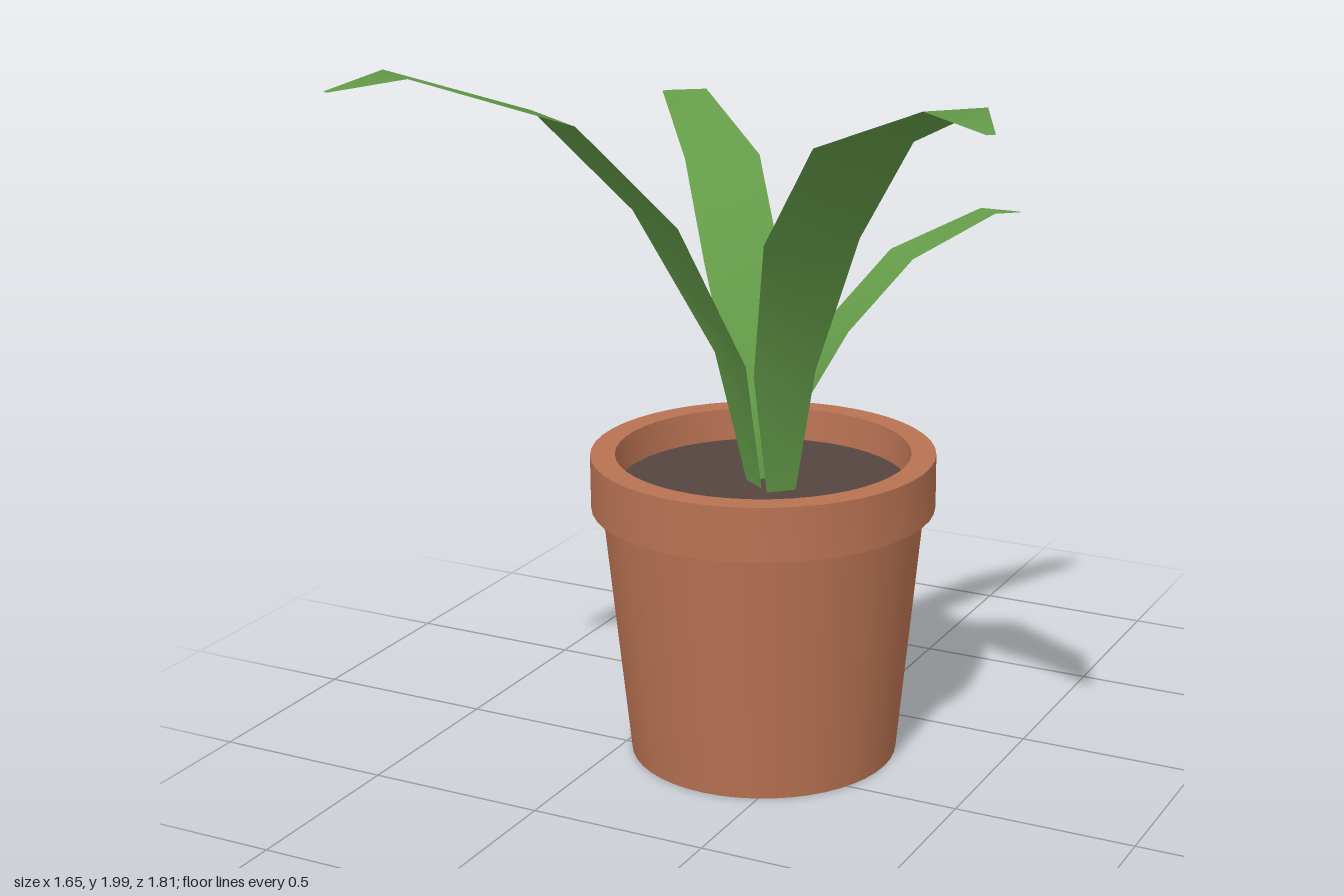
import * as THREE from 'three';
import { toCreasedNormals } from 'three/addons/utils/BufferGeometryUtils.js';

const terracotta = new THREE.MeshStandardMaterial({ color: 0xb87252 });
terracotta.name = 'terracotta';
const soilBrown = new THREE.MeshStandardMaterial({ color: 0x55453f });
soilBrown.name = 'soilBrown';
const leafGreen = new THREE.MeshStandardMaterial({ color: 0x649c49, side: THREE.DoubleSide });
leafGreen.name = 'leafGreen';

const POT_X = -0.15, POT_Z = -0.163;

// Half width of a blade at each station from root to tip, for a leaf of scale 1
const HALF_WIDTHS = [0.04, 0.086, 0.128, 0.128, 0.078, 0.011];

// Blade: a strip following [x, y, z] stations, spread along a level direction
function makeLeaf(name, scale, across, stations) {
  const [ax, az] = across;
  const positions = [], index = [];
  stations.forEach(([x, y, z], i) => {
    const w = HALF_WIDTHS[i] * (i === 0 ? 1 : scale);
    positions.push(x - ax * w, y, z - az * w, x + ax * w, y, z + az * w);
    if (i > 0) {
      const a = 2 * (i - 1);
      index.push(a, a + 2, a + 1, a + 1, a + 2, a + 3);
    }
  });
  const geometry = new THREE.BufferGeometry();
  geometry.setAttribute('position', new THREE.Float32BufferAttribute(positions, 3));
  geometry.setIndex(index);
  geometry.computeVertexNormals();
  const mesh = new THREE.Mesh(geometry, leafGreen);
  mesh.name = name;
  return mesh;
}

export function createModel() {
  const group = new THREE.Group();
  group.name = 'pottedPlant';

  // Pot: tapered wall, thick rim and the inside down to the soil
  const profile = [
    [0.001, 0], [0.37, 0], [0.44, 0.71], [0.47, 0.71],
    [0.47, 0.86], [0.403, 0.86], [0.395, 0.75],
  ].map(([r, y]) => new THREE.Vector2(r, y));
  const pot = new THREE.Mesh(toCreasedNormals(new THREE.LatheGeometry(profile, 48), 0.6), terracotta);
  pot.name = 'pot';
  pot.position.set(POT_X, 0, POT_Z);
  group.add(pot);

  // Soil disc
  const soil = new THREE.Mesh(new THREE.CircleGeometry(0.397, 48), soilBrown);
  soil.name = 'soil';
  soil.rotation.x = -Math.PI / 2;
  soil.position.set(POT_X, 0.77, POT_Z);
  group.add(soil);

  // Four arching leaves; "across" is ordered so that the upper face is the front
  group.add(
    makeLeaf('frontRightLeaf', 1, [0.83, 0.56], [
      [-0.165, 0.76, -0.14], [-0.212, 1.13, -0.09], [-0.33, 1.54, 0.1],
      [-0.472, 1.835, 0.357], [-0.67, 1.99, 0.745], [-0.762, 1.965, 0.9],
    ]),
    makeLeaf('frontLeftLeaf', 1, [0.71, -0.7], [
      [-0.075, 0.76, -0.12], [-0.034, 1.12, -0.058], [0.118, 1.525, 0.096],
      [0.342, 1.825, 0.282], [0.684, 1.982, 0.545], [0.813, 1.955, 0.655],
    ]),
    makeLeaf('backRightLeaf', 0.84, [-0.77, 0.64], [
      [-0.165, 0.76, -0.19], [-0.183, 1.0, -0.205], [-0.316, 1.33, -0.369],
      [-0.467, 1.575, -0.545], [-0.72, 1.705, -0.795], [-0.818, 1.68, -0.9],
    ]),
    makeLeaf('backLeftLeaf', 0.52, [-0.77, -0.64], [
      [-0.085, 0.76, -0.18], [-0.09, 0.955, -0.19], [0.012, 1.2, -0.289],
      [0.133, 1.38, -0.436], [0.3, 1.475, -0.64], [0.362, 1.462, -0.72],
    ]),
  );
  return group;
}
